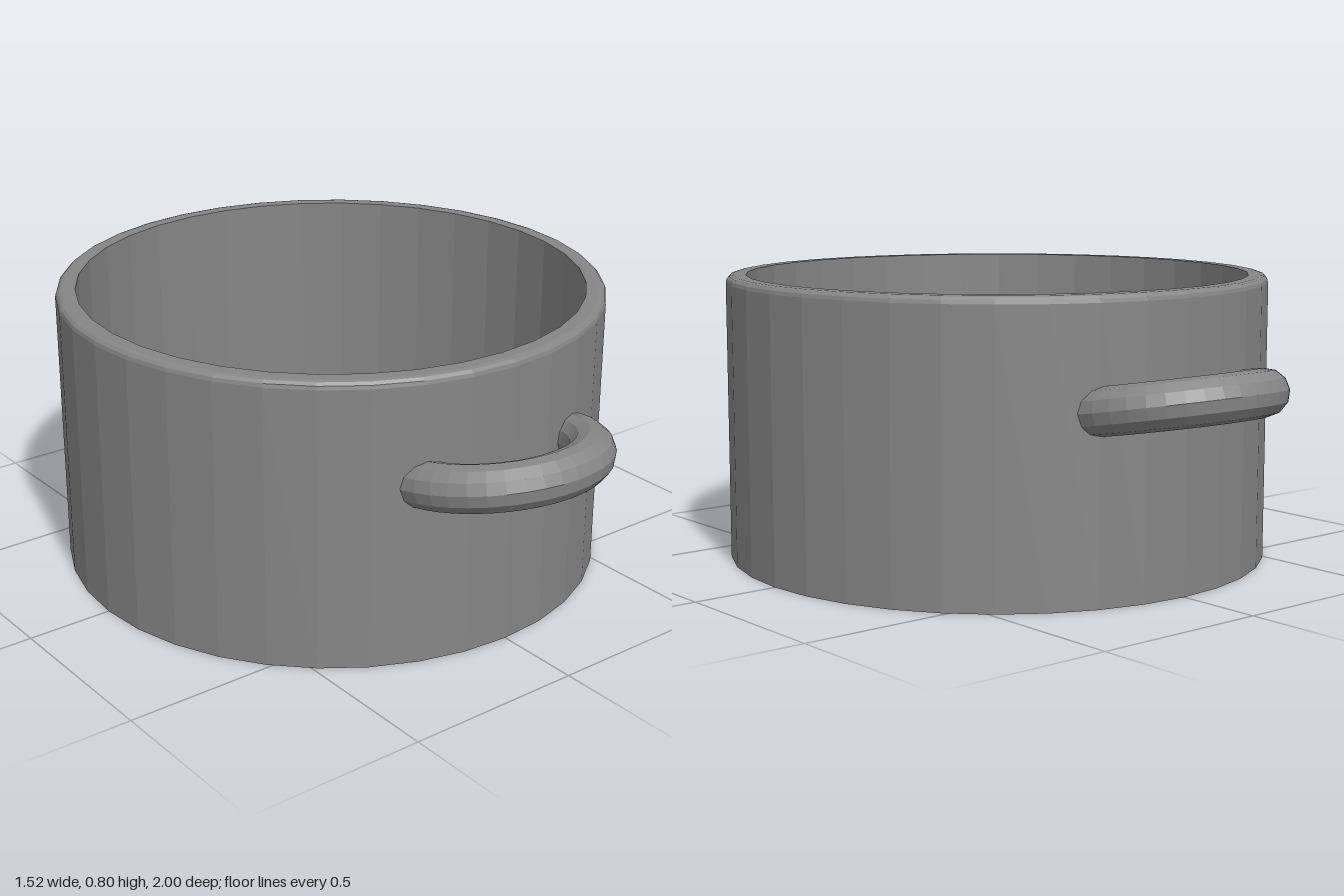
import * as THREE from 'three';

const RADIUS = 0.76, INNER = 0.705, HEIGHT = 0.795, FLOOR = 0.05, BEVEL = 0.02;

export function createModel() {
  const model = new THREE.Group();
  model.name = 'cookingPot';
  const material = new THREE.MeshStandardMaterial({ color: 0x868686, flatShading: true });

  // Pot body: base, outer wall, rounded outer rim, inner wall and floor in one profile
  const profile = [new THREE.Vector2(0, 0), new THREE.Vector2(RADIUS, 0)];
  for (let i = 0; i <= 3; i++) {
    const a = (i / 3) * Math.PI / 2;
    profile.push(new THREE.Vector2(
      RADIUS - BEVEL + BEVEL * Math.cos(a),
      HEIGHT - BEVEL + BEVEL * Math.sin(a)));
  }
  profile.push(
    new THREE.Vector2(INNER, HEIGHT),
    new THREE.Vector2(INNER, FLOOR),
    new THREE.Vector2(0, FLOOR));
  const body = new THREE.Mesh(new THREE.LatheGeometry(profile, 36), material);
  body.name = 'potBody';
  model.add(body);

  // Half-ring handles, tilted upwards, with their ends sunk into the wall
  const ring = new THREE.TorusGeometry(0.25, 0.0625, 12, 20, Math.PI);
  ring.rotateX(THREE.MathUtils.degToRad(80));
  ring.translate(0, 0.5, 0.691);
  for (const [name, turn] of [['frontHandle', 0], ['backHandle', Math.PI]]) {
    const handle = new THREE.Mesh(ring, material);
    handle.name = name;
    handle.rotation.y = turn;
    model.add(handle);
  }

  return model;
}
